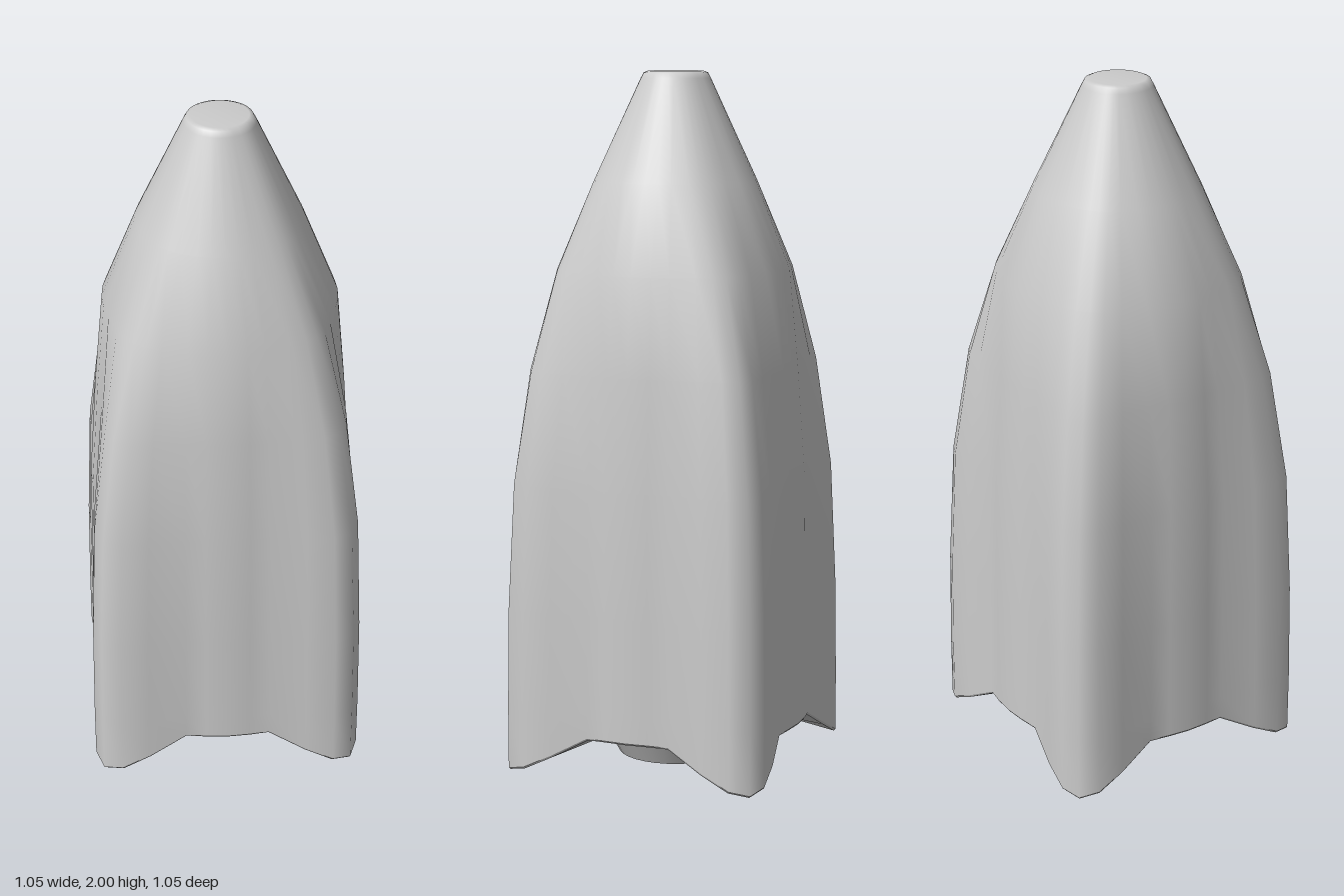
import * as THREE from 'three';
import { toCreasedNormals } from 'three/addons/utils/BufferGeometryUtils.js';

const material = new THREE.MeshStandardMaterial({ color: 0xcccccc });

// One quarter of the star section: [x, z, height of the lower edge]
const QUARTER = [
  [0.525, 0, 0.003], [0.502, 0.055, 0.016], [0.44, 0.11, 0.056], [0.35, 0.174, 0.115],
  [0.316, 0.224, 0.118], [0.273, 0.273, 0.118], [0.224, 0.316, 0.118],
  [0.174, 0.35, 0.115], [0.11, 0.44, 0.056], [0.055, 0.502, 0.016],
];
const TIP = 0.525;
const SECTION = [];
for (let q = 0; q < 4; q++) {
  for (const [x, z, edge] of QUARTER) {
    SECTION.push({ angle: Math.atan2(z, x) + q * Math.PI / 2, ratio: Math.hypot(x, z) / TIP, edge });
  }
}

// Ring blending from a circle (star = 0) to the four-finned section (star = 1)
function ring(radius, star, height) {
  return SECTION.map((s) => {
    const r = radius * (1 - star + star * s.ratio);
    return [r * Math.cos(s.angle), height(s), r * Math.sin(s.angle)];
  });
}

// Skin a list of closed rings, ordered from top to bottom
function loft(rings) {
  const n = SECTION.length;
  const index = [];
  for (let i = 0; i < rings.length - 1; i++) {
    for (let j = 0; j < n; j++) {
      const k = (j + 1) % n;
      const a = i * n + j, b = i * n + k, c = a + n, d = b + n;
      index.push(a, b, c, b, d, c);
    }
  }
  const geometry = new THREE.BufferGeometry();
  geometry.setAttribute('position', new THREE.Float32BufferAttribute(rings.flat(2), 3));
  geometry.setIndex(index);
  geometry.computeVertexNormals();
  return geometry;
}

function addMesh(group, name, geometry) {
  const mesh = new THREE.Mesh(geometry, material);
  mesh.name = name;
  group.add(mesh);
}

export function createModel() {
  const group = new THREE.Group();
  group.name = 'rocket';

  // Hull with its softened nose cap: radius at the fin tips, share of the star section, height
  const profile = [
    [0, 0, 2], [0.08, 0, 2], [0.092, 0, 1.995], [0.1, 0, 1.98], [0.24, 0.1, 1.69], [0.355, 0.24, 1.44],
    [0.445, 0.74, 1.16], [0.5, 0.91, 0.84], [0.52, 0.99, 0.48], [0.525, 1, 0.19],
  ];
  const rings = profile.map(([r, star, y]) => ring(r, star, () => y));
  rings.push(ring(TIP, 1, (s) => s.edge + 0.005));
  addMesh(group, 'hull', loft(rings));

  // Underside: narrow bevel, then sloping fin undersides running in to the nozzle
  addMesh(group, 'underside', toCreasedNormals(loft([
    ring(TIP, 1, (s) => s.edge + 0.005),
    ring(0.52, 1, (s) => s.edge),
    ring(0.225, 0, () => 0.116),
  ]), 0.6));

  // Nozzle with a recessed opening
  const nozzle = [[0, 0.09], [0.15, 0.09], [0.158, 0.006], [0.167, 0.006], [0.23, 0.118]]
    .map(([r, y]) => new THREE.Vector2(r, y));
  addMesh(group, 'nozzle', toCreasedNormals(new THREE.LatheGeometry(nozzle, 32), 0.6));

  return group;
}
